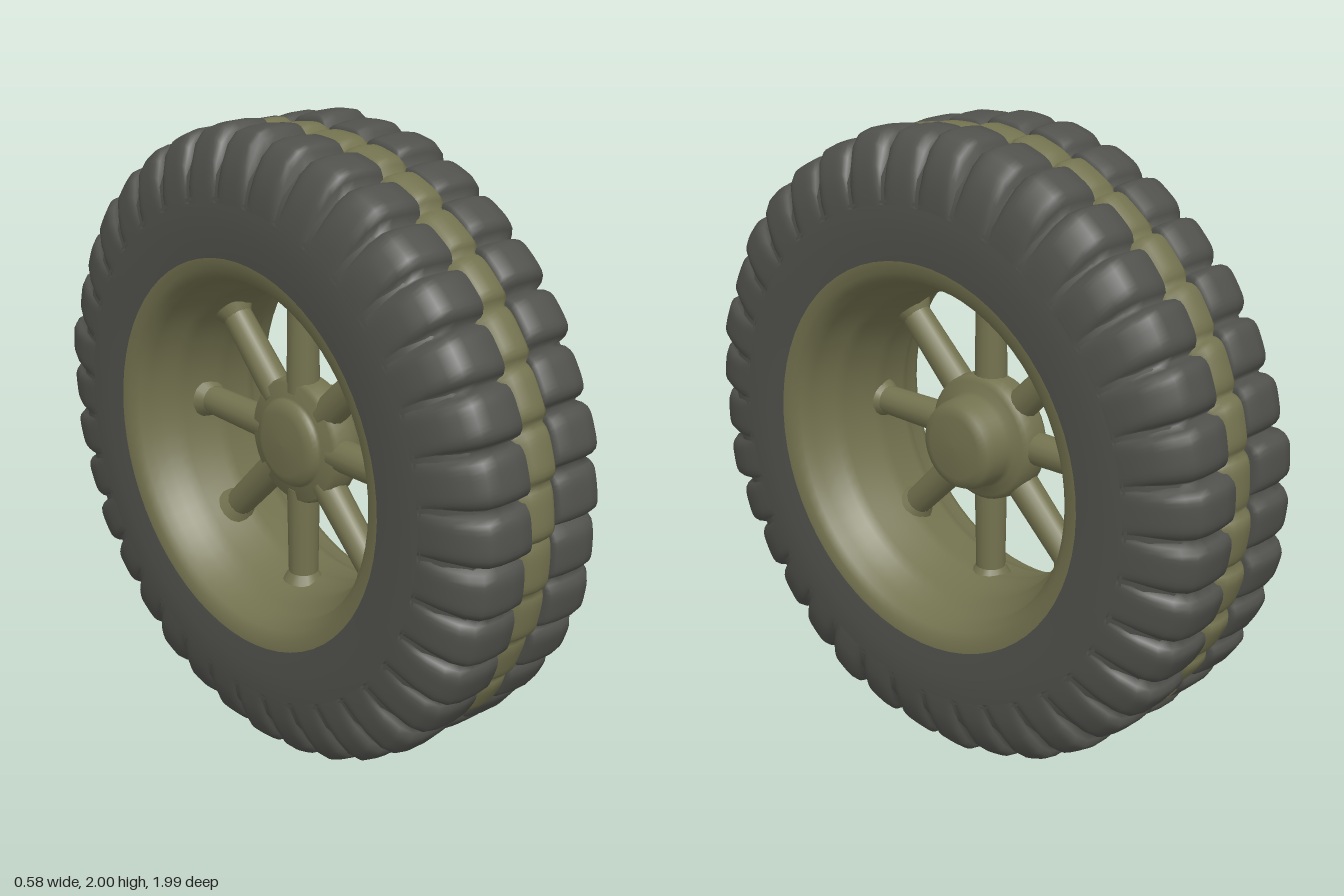
import * as THREE from 'three';

const BLOCKS = 36; // tread blocks around each shoulder
const STEPS = 12; // segments per block

export function createModel() {
  const rubber = new THREE.MeshStandardMaterial({ color: 0x50504c });
  rubber.name = 'dark rubber';
  const olive = new THREE.MeshStandardMaterial({ color: 0x73724f });
  olive.name = 'olive paint';

  const wheel = new THREE.Group();
  wheel.name = 'wheel';
  wheel.position.y = 1;

  const add = (name, geometry, material, parent = wheel) => {
    const mesh = new THREE.Mesh(geometry, material);
    mesh.name = name;
    parent.add(mesh);
    return mesh;
  };

  // Profiles are [radius, x], revolved about the x axis
  const turn = (profile, segments) =>
    new THREE.LatheGeometry(profile.map(([r, x]) => new THREE.Vector2(r, x)), segments);
  const ontoAxle = (geometry) => geometry.rotateZ(-Math.PI / 2);

  // Seeded noise, one value per block
  const noise = (i, seed) => {
    const n = Math.sin((i % BLOCKS) * 12.9898 + seed * 78.233) * 43758.5453;
    return (n - Math.floor(n)) * 2 - 1;
  };

  // Revolved band cut into blocks: vertices sink into grooves between them
  const treadBand = (profile, seed, depth, phase) => {
    const geometry = turn(profile.map(([r, x]) => [r, x]), BLOCKS * STEPS);
    const p = geometry.attributes.position;
    const n = profile.length;
    for (let i = 0; i <= BLOCKS * STEPS; i++) {
      const block = Math.floor(i / STEPS) % BLOCKS;
      const u = (i % STEPS) / STEPS;
      const groove = Math.abs(2 * u - 1) ** 5;
      for (let j = 0; j < n; j++) {
        const [r, x, weight] = profile[j];
        const uneven = (noise(block, seed) * 0.006 + (u - 0.5) * 0.014) * (1 - groove);
        const radius = r + weight * (uneven - depth * groove);
        const side = x * (1 - 0.07 * groove * weight) + noise(block, seed + 3) * 0.006 * weight * (1 - groove);
        const a = ((i + phase * STEPS) / (BLOCKS * STEPS)) * Math.PI * 2;
        p.setXYZ(i * n + j, radius * Math.sin(a), side, radius * Math.cos(a));
      }
    }
    geometry.computeVertexNormals();
    return ontoAxle(geometry);
  };

  // Smooth tyre carcass with flat side walls
  add('tyreCarcass', ontoAxle(turn([
    [0.6, -0.28], [0.615, -0.286], [0.7, -0.288], [0.79, -0.288], [0.86, -0.268], [0.93, -0.22],
    [0.94, 0], [0.93, 0.22], [0.86, 0.268], [0.79, 0.288], [0.7, 0.288], [0.615, 0.286], [0.6, 0.28],
  ], 96)), rubber);

  // Two rows of shoulder blocks; third number is how strongly the grooves cut
  const shoulder = [
    [0.91, 0.05, 0], [0.97, 0.052, 0.7], [0.988, 0.06, 1], [0.994, 0.11, 1], [0.994, 0.17, 1],
    [0.985, 0.212, 1], [0.955, 0.244, 1], [0.9, 0.27, 0.9], [0.84, 0.285, 0.5], [0.78, 0.289, 0],
  ];
  add('leftTread', treadBand(shoulder, 1, 0.045, 0), rubber);
  const mirrored = shoulder.map(([r, x, w]) => [r, -x, w]).reverse();
  add('rightTread', treadBand(mirrored, 2, 0.045, 0.3), rubber);

  // Centre rib
  add('centreRib', treadBand([
    [0.93, -0.072, 0], [0.962, -0.066, 0.6], [0.98, -0.04, 1],
    [0.984, 0, 1], [0.98, 0.04, 1], [0.962, 0.066, 0.6], [0.93, 0.072, 0],
  ], 5, 0.022, 0.15), olive);

  // Stepped rim, symmetrical about the middle of the wheel
  const rimHalf = [
    [0.615, 0.287], [0.58, 0.284], [0.555, 0.265], [0.537, 0.235], [0.53, 0.19],
    [0.505, 0.165], [0.492, 0.13], [0.484, 0.06], [0.472, 0.02],
  ];
  add('rim', ontoAxle(turn([
    ...rimHalf, ...rimHalf.map(([r, x]) => [r, -x]).reverse(),
  ], 64)), olive);

  // Hub: back cap, spoke flange and protruding front cap
  add('hub', ontoAxle(turn([
    [0, -0.125], [0.1, -0.122], [0.13, -0.11], [0.14, -0.095], [0.145, -0.085],
    [0.19, -0.08], [0.2, -0.065], [0.205, -0.02], [0.2, 0.015], [0.185, 0.028],
    [0.155, 0.035], [0.146, 0.05], [0.143, 0.1], [0.132, 0.125], [0.1, 0.137], [0, 0.14],
  ], 40)), olive);

  // Eight spokes, each with a foot against the rim
  for (let i = 0; i < 8; i++) {
    const spoke = new THREE.Group();
    spoke.name = 'spoke';
    spoke.position.x = -0.035;
    spoke.rotation.x = (i * Math.PI) / 4;
    wheel.add(spoke);
    const bar = add('spokeBar', new THREE.CylinderGeometry(0.047, 0.052, 0.33, 14), olive, spoke);
    bar.position.y = 0.325;
    const foot = add('spokeFoot', new THREE.CylinderGeometry(0.066, 0.048, 0.03, 14), olive, spoke);
    foot.position.y = 0.468;
  }

  const model = new THREE.Group();
  model.name = 'spokedWheel';
  model.add(wheel);
  return model;
}
